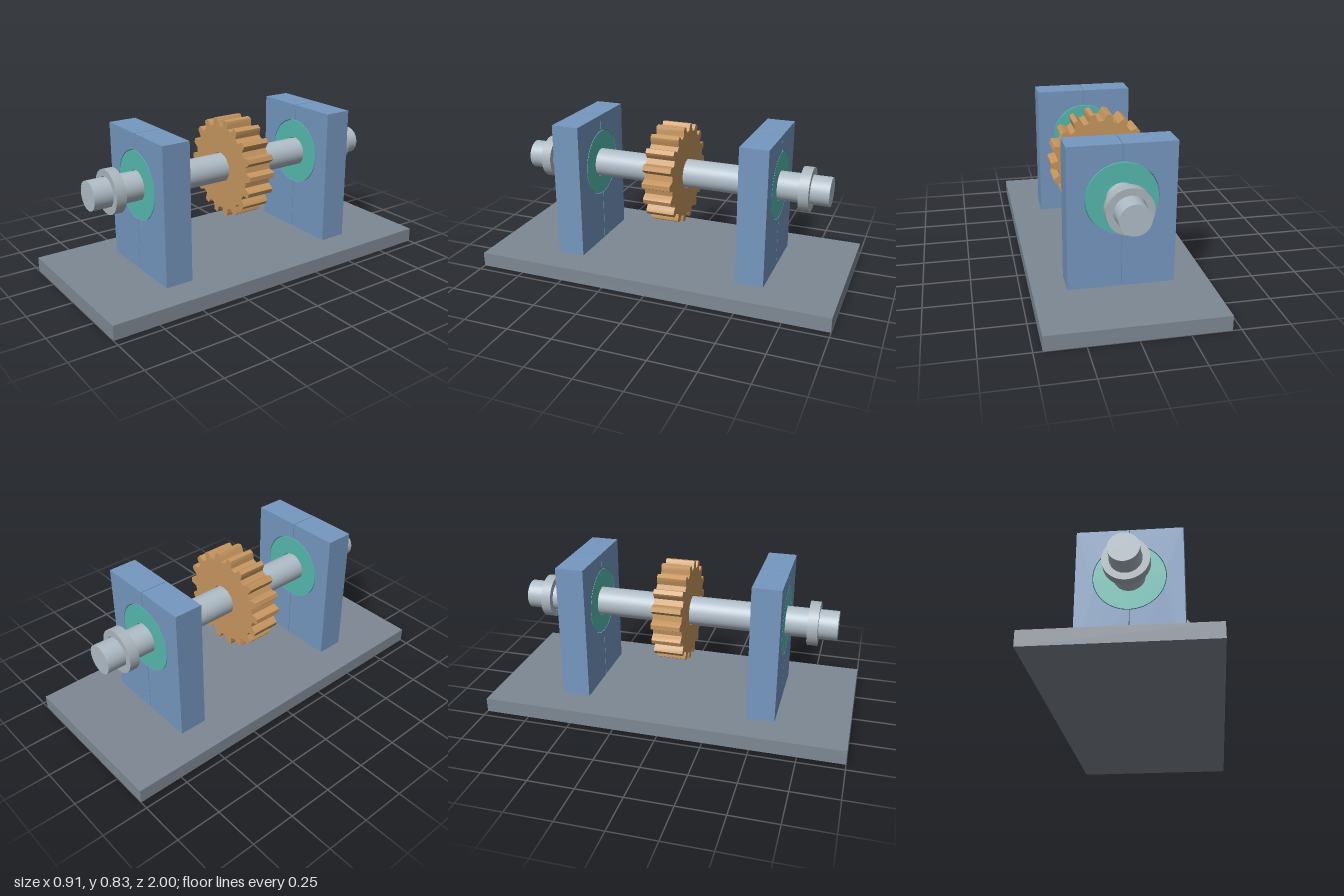
import * as THREE from 'three';
import { toCreasedNormals } from 'three/addons/utils/BufferGeometryUtils.js';

const AXIS_Y = 0.557, BORE = 0.0825, SEAT = 0.188;

const mat = (name, color) => {
  const m = new THREE.MeshStandardMaterial({ color });
  m.name = name;
  return m;
};

// Extrude a shape along z, centred on z = 0
function slab(shape, depth) {
  const g = new THREE.ExtrudeGeometry(shape, { depth, bevelEnabled: false, curveSegments: 64 });
  g.translate(0, 0, -depth / 2);
  return toCreasedNormals(g, 0.4);
}

function addBore(shape, radius) {
  shape.holes.push(new THREE.Path().absarc(0, 0, radius, 0, Math.PI * 2, true));
  return shape;
}

function ringGeometry(outer, inner, depth) {
  return slab(addBore(new THREE.Shape().absarc(0, 0, outer, 0, Math.PI * 2, false), inner), depth);
}

// Spur gear outline: a root gap faces straight up and down
function gearShape(teeth, root, tip) {
  const pitch = (Math.PI * 2) / teeth;
  const profile = [[-0.31, root], [-0.25, 0.251], [-0.2, 0.266], [-0.13, tip],
    [0.13, tip], [0.2, 0.266], [0.25, 0.251], [0.31, root]];
  const points = [];
  for (let i = 0; i < teeth; i++) {
    for (const [t, r] of profile) {
      const a = Math.PI / 2 + (i + 0.5 + t) * pitch;
      points.push(new THREE.Vector2(Math.cos(a) * r, Math.sin(a) * r));
    }
  }
  return new THREE.Shape(points);
}

// One half of a split bearing block, with a half-round seat
function housingHalfShape(side) {
  const slit = 0.0018, w = 0.277, bottom = 0.08 - AXIS_Y, top = 0.835 - AXIS_Y;
  const a = Math.acos(slit / SEAT), y = Math.sin(a) * SEAT;
  const s = new THREE.Shape();
  s.moveTo(side * slit, bottom);
  s.lineTo(side * w, bottom);
  s.lineTo(side * w, top);
  s.lineTo(side * slit, top);
  s.lineTo(side * slit, y);
  if (side > 0) s.absarc(0, 0, SEAT, a, -a, true);
  else s.absarc(0, 0, SEAT, Math.PI - a, Math.PI + a, false);
  s.closePath();
  return s;
}

export function createModel() {
  const model = new THREE.Group();
  model.name = 'gearShaftStand';
  const baseMat = mat('slate grey', 0x7e8893);
  const housingMat = mat('steel blue', 0x7597bf);
  const bearingMat = mat('teal', 0x56b9ad);
  const shaftMat = mat('light steel', 0xb0bdc7);
  const collarMat = mat('grey steel', 0xabb6bd);
  const gearMat = mat('bronze', 0xc6965f);

  const add = (name, geometry, material, y, z = 0) => {
    const mesh = new THREE.Mesh(geometry, material);
    mesh.name = name;
    mesh.position.set(0, y, z);
    model.add(mesh);
  };

  // Base plate
  add('basePlate', new THREE.BoxGeometry(0.91, 0.08, 2), baseMat, 0.04);

  // Shaft and gear
  add('shaft', new THREE.CylinderGeometry(0.079, 0.079, 1.76, 64).rotateX(Math.PI / 2), shaftMat, AXIS_Y);
  add('gear', slab(addBore(gearShape(18, 0.238, 0.277), BORE), 0.16), gearMat, AXIS_Y);

  // Split housings, bearings and collars at both ends
  for (const end of [1, -1]) {
    const place = end > 0 ? 'front' : 'back';
    for (const side of [1, -1]) {
      add(`${place}Housing${side > 0 ? 'Left' : 'Right'}`,
        slab(housingHalfShape(side), 0.155), housingMat, AXIS_Y, end * 0.5275);
    }
    add(`${place}Bearing`, ringGeometry(0.184, BORE, 0.155), bearingMat, AXIS_Y, end * 0.5275);
    add(`${place}Collar`, ringGeometry(0.119, BORE, 0.055), collarMat, AXIS_Y, end * 0.752);
  }
  return model;
}
